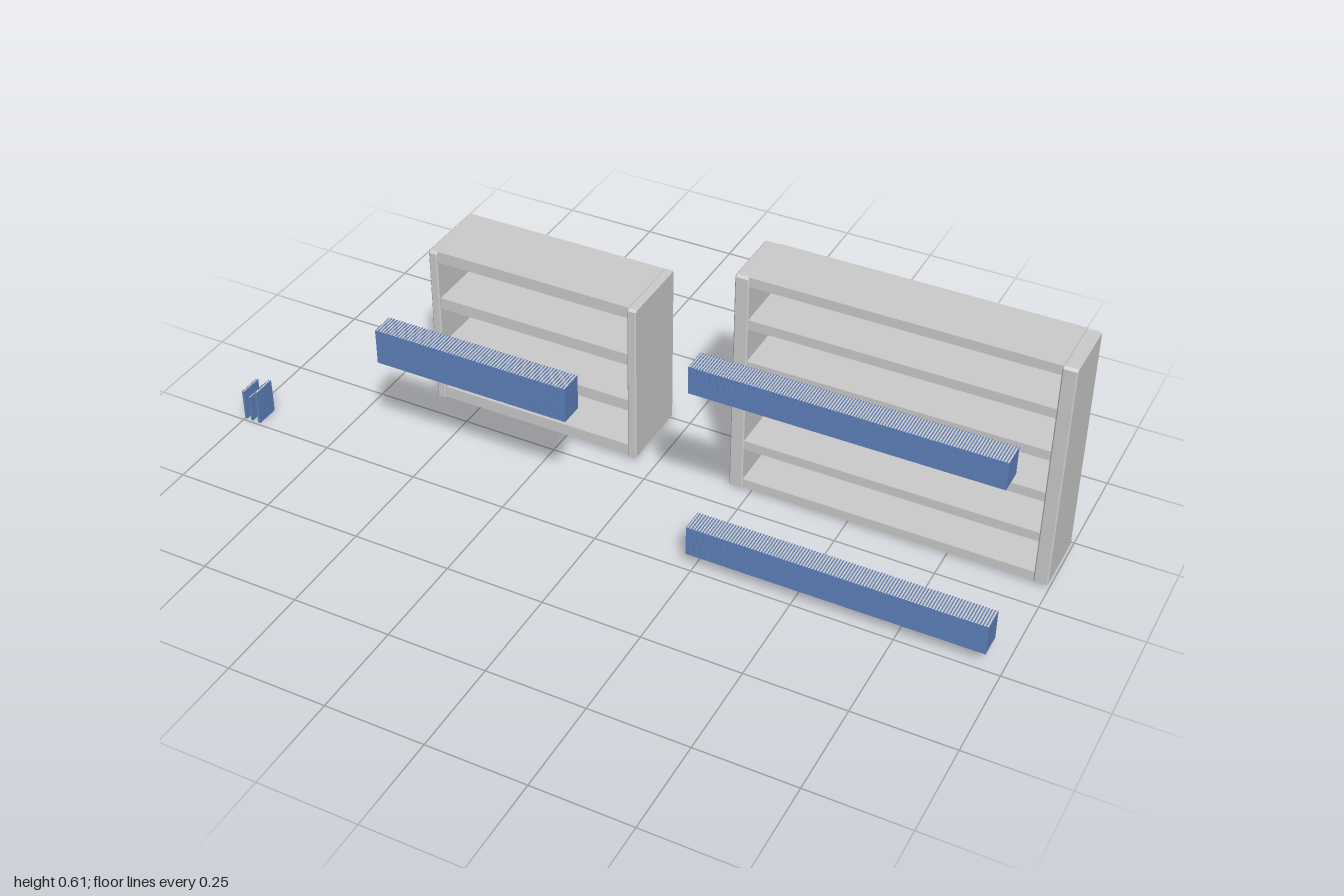
import * as THREE from 'three';
import { mergeGeometries } from 'three/addons/utils/BufferGeometryUtils.js';

const grey = new THREE.MeshStandardMaterial({ color: 0xcccccc });
const blue = new THREE.MeshStandardMaterial({ color: 0x5f82bd });

function box(x0, x1, y0, y1, z0, z1) {
  return new THREE.BoxGeometry(x1 - x0, y1 - y0, z1 - z0)
    .translate((x0 + x1) / 2, (y0 + y1) / 2, (z0 + z1) / 2);
}

function addMesh(parent, name, geometry, material) {
  const mesh = new THREE.Mesh(geometry, material);
  mesh.name = name;
  parent.add(mesh);
}

// Upright side panel with chamfered edges and clipped top corners
function sidePanel(x0, x1, y0, y1, z0, z1) {
  const b = 0.003, c = 0.004;
  const [l, r, d, u] = [-z1 + b, -z0 - b, y0 + b, y1 - b];
  const shape = new THREE.Shape([
    [l, d], [r, d], [r, u - c], [r - c, u], [l + c, u], [l, u - c],
  ].map(([x, y]) => new THREE.Vector2(x, y)));
  return new THREE.ExtrudeGeometry(shape, {
    depth: x1 - x0 - 2 * b, bevelThickness: b, bevelSize: b, bevelSegments: 1,
  }).rotateY(Math.PI / 2).translate(x0 + b, 0, 0);
}

// Open-backed bookcase: two side panels and evenly spaced boards
function bookcase({ name, x, y, z, side, board, boards, inset }) {
  const group = new THREE.Group();
  group.name = name;
  addMesh(group, 'rightSide', sidePanel(x[0], x[0] + side, ...y, ...z), grey);
  addMesh(group, 'leftSide', sidePanel(x[1] - side, x[1], ...y, ...z), grey);
  const step = (y[1] - y[0] - board) / (boards - 1);
  for (let i = 0; i < boards; i++) {
    const y0 = y[0] + i * step;
    addMesh(group, `shelf${i + 1}`,
      box(x[0] + side - 0.002, x[1] - side + 0.002, y0, y0 + board, z[0] + inset, z[1] - inset), grey);
  }
  return group;
}

// Books standing upright, spines to the front; each entry is [x, thickness]
function books(name, entries, y0, y1) {
  const group = new THREE.Group();
  group.name = name;
  const z0 = 0.182, z1 = 0.243;
  const covers = [], pages = [];
  for (const [x, t] of entries) {
    const c = t * 0.16;
    covers.push(
      box(x, x + c, y0, y1, z0, z1),
      box(x + t - c, x + t, y0, y1, z0, z1),
      box(x + c, x + t - c, y0, y1, z1 - 0.001, z1),
    );
    pages.push(box(x + c, x + t - c, y0 + 0.001, y1 - 0.001, z0 + 0.001, z1 - 0.001));
  }
  addMesh(group, 'bookCovers', mergeGeometries(covers), blue);
  addMesh(group, 'bookPages', mergeGeometries(pages), grey);
  return group;
}

// A full row of equal books
function bookRow(name, x0, x1, y0, y1, count) {
  const pitch = (x1 - x0) / count;
  const entries = Array.from({ length: count }, (_, i) => [x0 + i * pitch, pitch * 0.93]);
  return books(name, entries, y0, y1);
}

export function createModel() {
  const model = new THREE.Group();
  model.name = 'bookcaseSet';

  model.add(bookcase({
    name: 'smallBookcase', x: [-0.61, -0.045], y: [0.015, 0.45], z: [-0.243, -0.044],
    side: 0.023, board: 0.031, boards: 4, inset: 0.006,
  }));
  model.add(bookcase({
    name: 'largeBookcase', x: [0.195, 0.997], y: [0.01, 0.612], z: [-0.233, -0.067],
    side: 0.035, board: 0.025, boards: 6, inset: 0.003,
  }));

  // Rows of books in front of the bookcases
  model.add(bookRow('smallBookcaseRow', -0.58, -0.075, 0.31, 0.402, 66));
  model.add(bookRow('upperBookRow', 0.233, 0.96, 0.497, 0.567, 112));
  model.add(bookRow('lowerBookRow', 0.233, 0.96, 0.04, 0.118, 104));

  // Three loose books
  model.add(books('mediumBook', [[-1, 0.006]], 0, 0.083));
  model.add(books('shortBook', [[-0.982, 0.005]], 0, 0.071));
  model.add(books('tallBook', [[-0.961, 0.007]], 0, 0.093));

  return model;
}
